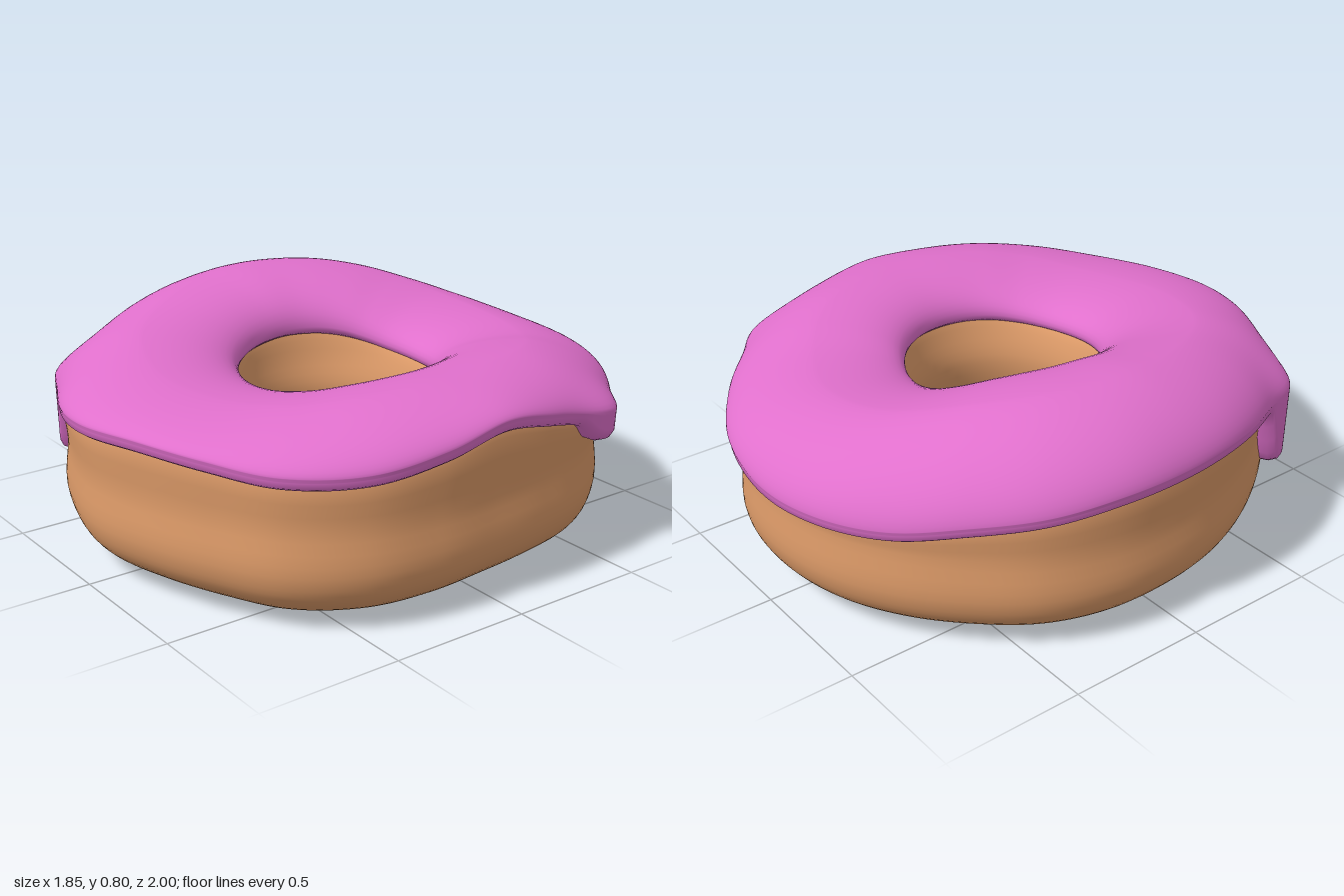
import * as THREE from 'three';

const SEGMENTS = 288;
const rad = THREE.MathUtils.degToRad;

// Smooth periodic function through values given every 15 degrees (0 = +x, 90 = +z)
function ring(values) {
  const n = values.length;
  return (deg) => {
    const f = (deg / 360) * n, i = Math.floor(f), t = f - i;
    const [a, b, c, d] = [-1, 0, 1, 2].map((k) => values[(i + k + n) % n]);
    return b + 0.5 * t * (c - a + t * (2 * a - 5 * b + 4 * c - d + t * (3 * (b - c) + d - a)));
  };
}

// Uneven outline, crest height and lower icing edge around the ring
const outer = ring([.88, .92, .97, .985, .955, .95, .967, .955, .945, .905, .885, .88,
  .885, .905, .92, .92, .935, .955, .965, .965, .938, .93, .92, .885]);
const crest = ring([.715, .71, .695, .67, .652, .652, .667, .69, .715, .74, .765, .785,
  .80, .80, .79, .765, .725, .685, .66, .65, .66, .69, .71, .717]);
const edge = ring([.585, .545, .51, .505, .52, .53, .52, .505, .48, .475, .505, .53,
  .535, .53, .50, .465, .42, .405, .405, .44, .47, .47, .49, .545]);

// The hole sits slightly off centre
const hole = (deg) => 0.317 + 0.05 * Math.cos(rad(deg)) + 0.02 * Math.sin(rad(deg))
  + 0.01 * Math.cos(rad(2 * deg));
// Height of the icing's edge inside the hole
const rim = (deg) => 0.56 + (crest(deg) - 0.675) * 0.5;

const drips = [
  { at: 131.5, width: 6.8, depth: 0.245, bulge: 0.045 },
  { at: 327.5, width: 7, depth: 0.065, bulge: 0.045 },
];
const bump = (deg, at, width, power) => Math.exp(-(Math.abs((deg - at) / width) ** power));

// Sweep a profile that changes with the angle; profile(deg) returns [radius, y] pairs
function sweep(name, profile, closed, color) {
  const positions = [], index = [];
  let rows = 0;
  for (let j = 0; j < SEGMENTS; j++) {
    const deg = (j / SEGMENTS) * 360;
    const points = profile(deg);
    rows = points.length;
    for (const [r, y] of points) positions.push(r * Math.cos(rad(deg)), y, r * Math.sin(rad(deg)));
  }
  for (let j = 0; j < SEGMENTS; j++) {
    const j2 = (j + 1) % SEGMENTS;
    for (let i = 0; i < (closed ? rows : rows - 1); i++) {
      const i2 = (i + 1) % rows;
      const a = j * rows + i, b = j2 * rows + i, c = j * rows + i2, d = j2 * rows + i2;
      index.push(a, b, c, b, d, c);
    }
  }
  const geometry = new THREE.BufferGeometry();
  geometry.setAttribute('position', new THREE.Float32BufferAttribute(positions, 3));
  geometry.setIndex(index);
  geometry.computeVertexNormals();
  const mesh = new THREE.Mesh(geometry, new THREE.MeshStandardMaterial({ color }));
  if (!closed) mesh.material.side = THREE.DoubleSide;
  mesh.name = name;
  return mesh;
}

// Dough: rounded ring with a flared hole and a faint waist
function doughProfile(deg) {
  const ro = outer(deg), ri = hole(deg), top = crest(deg) - 0.06, s = edge(deg) + 0.02;
  const mid = (ro + ri) / 2 + 0.02, inner = rim(deg);
  const points = [
    [ri + 0.105, 0.09], [ri + 0.045, 0.2], [ri, 0.38], [ri + 0.025, 0.5], [ri + 0.06, inner],
    [ri + 0.15, inner + (top - inner) * 0.7], [mid, top],
    [ro - 0.13, s + (top - s) * 0.6], [ro - 0.012, s], [ro - 0.012, 0.36], [ro, 0.21],
    [ro - 0.03, 0.12], [ro - 0.11, 0.05], [ro - 0.22, 0.013], [mid - 0.03, 0.002],
    [ri + 0.2, 0.028],
  ].map(([r, y]) => new THREE.Vector3(r, y, 0));
  const curve = new THREE.CatmullRomCurve3(points, true);
  return curve.getPoints(64).slice(0, -1).map((p) => [p.x, p.y]);
}

// Icing: sloping cap from the hole to the outer lip, running down in drips
function icingProfile(deg) {
  const ro = outer(deg), top = crest(deg), base = edge(deg), inner = rim(deg);
  const ri = hole(deg) + 0.015 + 0.02 * Math.sin(rad(deg)) ** 2;
  const mid = (ro + ri) / 2 + 0.02, shoulder = base + 0.045;
  const thick = 0.035 - 0.02 * bump(deg, 114, 10, 2);
  let low = base, bulge = 0;
  for (const d of drips) {
    low -= d.depth * bump(deg, d.at, d.width, 4);
    bulge += d.bulge * bump(deg, d.at, d.width * 1.1, 2);
  }
  const points = [[ri + 0.06, inner - 0.02], [ri + 0.02, inner - 0.03], [ri + 0.003, inner - 0.015]];
  for (let i = 0; i <= 12; i++) {
    const a = (i / 12) * Math.PI / 2;
    points.push([mid - (mid - ri) * Math.cos(a), inner + (top - inner) * Math.sin(a)]);
  }
  for (let i = 1; i <= 16; i++) {
    const a = (i / 16) * Math.PI / 2, out = Math.sin(a) ** 1.22;
    const up = Math.max(Math.cos(a), 0) ** 1.22;
    points.push([mid + (ro + thick - mid) * out + bulge * out ** 8, shoulder + (top - shoulder) * up]);
  }
  const wall = thick + bulge;
  for (let i = 1; i <= 6; i++) {
    points.push([ro + wall - 0.004 * i / 6, THREE.MathUtils.lerp(shoulder, low + 0.03, i / 6)]);
  }
  points.push([ro + wall * 0.8, low + 0.01], [ro + wall * 0.4, low],
    [ro - 0.005, low + 0.006], [ro - 0.04, low + 0.03]);
  return points;
}

export function createModel() {
  const model = new THREE.Group();
  model.name = 'icedRing';
  model.add(sweep('dough', doughProfile, true, 0xdc9a68));
  model.add(sweep('icing', icingProfile, false, 0xe070cc));
  return model;
}
